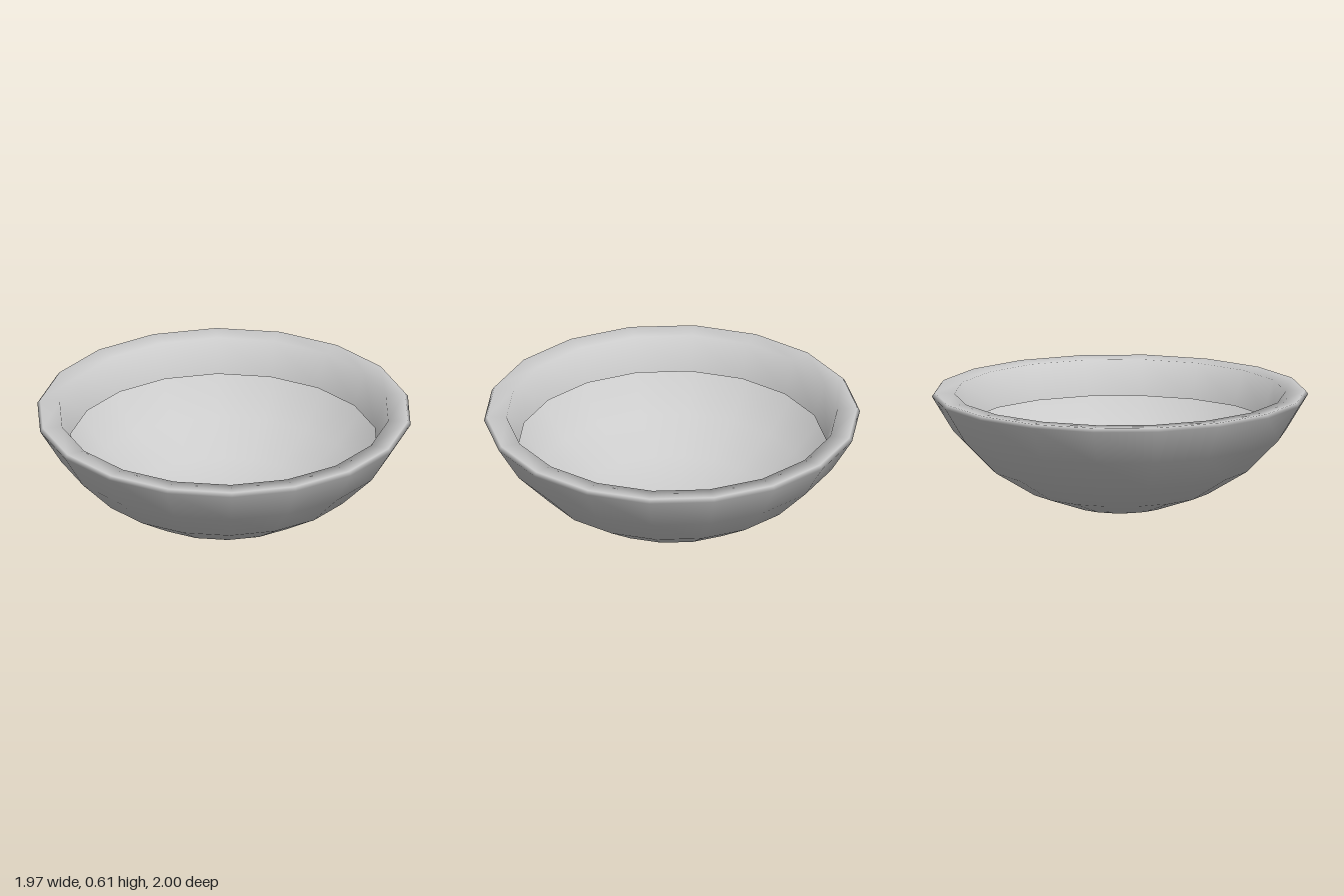
import * as THREE from 'three';

const SIDES = 18;

export function createModel() {
  const group = new THREE.Group();
  group.name = 'bowl';

  // Half section [radius, height], from the middle of the base up and over the lip
  const section = [
    // flat base and curved side, a single thin wall
    [0, 0], [0.25, 0], [0.49, 0.085], [0.71, 0.22], [0.885, 0.4], [1, 0.59],
    // lip turned inwards, ending in a free lower edge
    [0.985, 0.61], [0.88, 0.605], [0.82, 0.42],
  ].map(([r, y]) => new THREE.Vector2(r, y));

  const shell = new THREE.Mesh(
    new THREE.LatheGeometry(section, SIDES),
    new THREE.MeshStandardMaterial({ color: 0xcccccc, side: THREE.DoubleSide }),
  );
  shell.name = 'shellWithFoldedRim';
  group.add(shell);

  return group;
}
